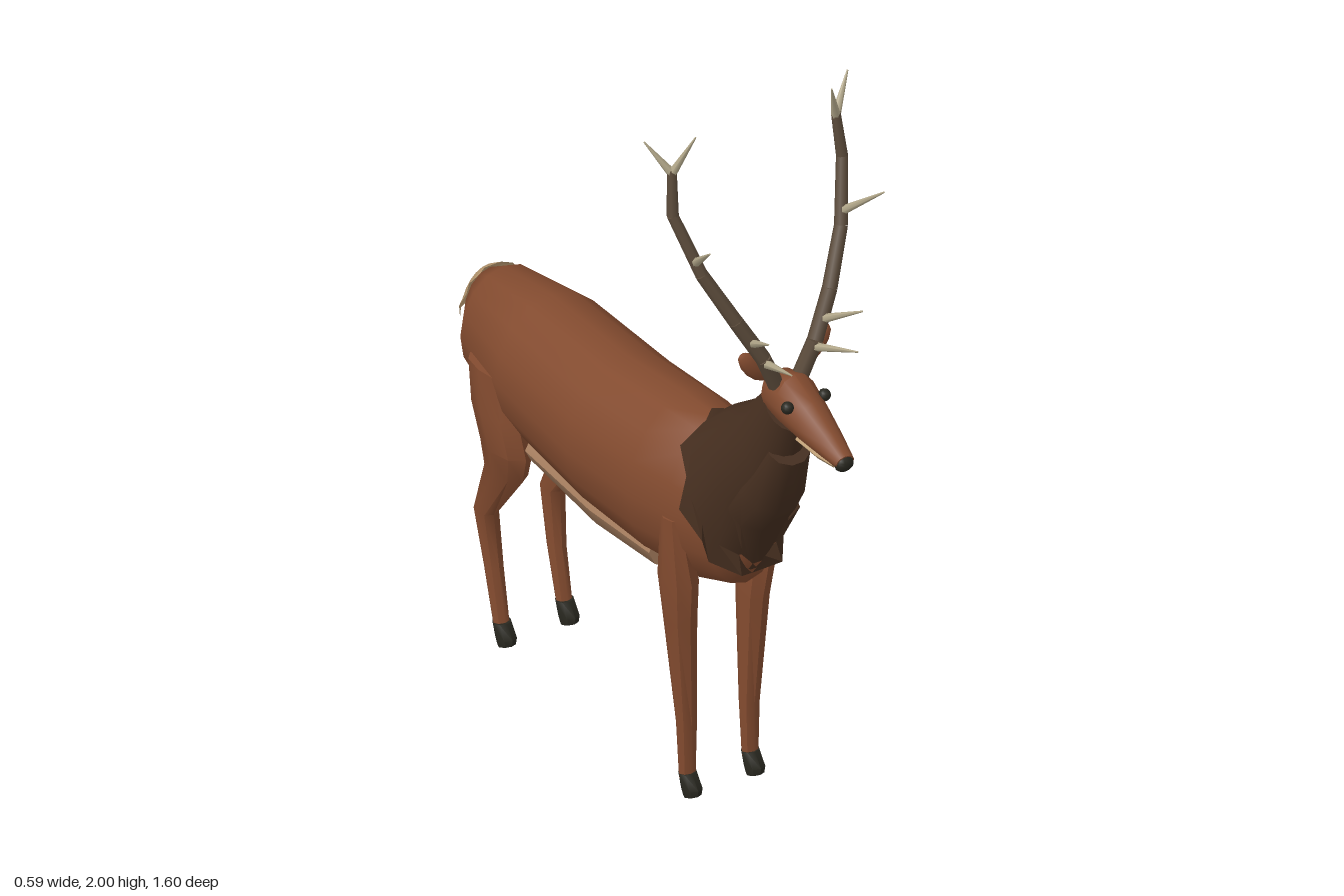
import * as THREE from 'three';
import { toCreasedNormals } from 'three/addons/utils/BufferGeometryUtils.js';

const mat = (name, color, side = THREE.FrontSide) => {
  const m = new THREE.MeshStandardMaterial({ color, side });
  m.name = name;
  return m;
};

// Skin over oval cross-sections [zA, yA, zB, yB, halfWidth, x]: A and B are opposite ends of each oval.
function loft(sections, { sides = 12, from = 0, to = Math.PI * 2, jag = null } = {}) {
  const open = to - from < 6.28, n = open ? sides + 1 : sides;
  const pos = [], idx = [];
  sections.forEach(([zA, yA, zB, yB, w, x = 0], r) => {
    const cy = (yA + yB) / 2, cz = (zA + zB) / 2;
    for (let i = 0; i < n; i++) {
      const a = from + ((to - from) * i) / sides;
      const s = Math.sin(a);
      const p = [x + Math.cos(a) * w, cy + s * (yA - cy), cz + s * (zA - cz)];
      if (jag && jag.row === r && i % 2) { p[1] += jag.y; p[2] += jag.z; }
      pos.push(...p);
    }
  });
  for (let r = 0; r < sections.length - 1; r++) {
    for (let i = 0; i < sides; i++) {
      const a = r * n + i, b = r * n + ((i + 1) % n), c = a + n, d = b + n;
      idx.push(a, b, c, b, d, c);
    }
  }
  // end caps
  if (!open) {
    [0, sections.length - 1].forEach((r) => {
      const [zA, yA, zB, yB, , x = 0] = sections[r];
      const c = pos.length / 3;
      pos.push(x, (yA + yB) / 2, (zA + zB) / 2);
      for (let i = 0; i < sides; i++) {
        const a = r * n + i, b = r * n + ((i + 1) % n);
        if (r === 0) idx.push(c, b, a); else idx.push(c, a, b);
      }
    });
  }
  // turn faces outward by the sign of the enclosed volume
  let vol = 0;
  const v = (i) => new THREE.Vector3().fromArray(pos, i * 3);
  for (let i = 0; i < idx.length; i += 3) vol += v(idx[i]).dot(v(idx[i + 1]).cross(v(idx[i + 2])));
  if (vol < 0) idx.reverse();
  const g = new THREE.BufferGeometry();
  g.setAttribute('position', new THREE.Float32BufferAttribute(pos, 3));
  g.setIndex(idx);
  return toCreasedNormals(g, 0.75);
}

// Tapered rod between two points
function rod(a, b, ra, rb, sides = 6) {
  const A = new THREE.Vector3(...a), B = new THREE.Vector3(...b), d = B.clone().sub(A);
  const g = new THREE.CylinderGeometry(rb, ra, d.length(), sides);
  g.applyQuaternion(new THREE.Quaternion().setFromUnitVectors(new THREE.Vector3(0, 1, 0), d.normalize()));
  return g.translate(...A.add(B).multiplyScalar(0.5).toArray());
}

export function createModel() {
  const coat = mat('coat', 0x834b2f), mane = mat('mane', 0x452e1f);
  const belly = mat('belly', 0xa57d5e), pale = mat('paleFur', 0xbd9d74, THREE.DoubleSide);
  const antler = mat('antler', 0x5a4a3a), tine = mat('tine', 0xb5aa8c);
  const dark = mat('hoofAndNose', 0x28271f);

  const root = new THREE.Group();
  root.name = 'stag';
  const add = (name, geo, m, parent = root) => {
    const mesh = new THREE.Mesh(geo, m);
    mesh.name = name;
    parent.add(mesh);
    return mesh;
  };
  const upright = ([z, top, bottom, w]) => [z, top, z, bottom, w];
  const level = ([zFront, zBack, y, w, x]) => [zFront, y, zBack, y, w, x];

  // Barrel of the body, rump to chest
  add('body', loft([
    [-0.765, 0.9, 0.78, 0.04], [-0.75, 0.935, 0.72, 0.075], [-0.69, 0.97, 0.655, 0.125],
    [-0.48, 1.0, 0.61, 0.165], [-0.16, 1.0, 0.575, 0.175], [0.1, 1.03, 0.57, 0.17],
    [0.24, 1.035, 0.585, 0.15], [0.36, 0.98, 0.63, 0.115], [0.41, 0.88, 0.71, 0.06],
  ].map(upright), { sides: 16 }), coat);

  // Pale underside
  add('belly', loft([
    [-0.41, 0.7, 0.575, 0.125], [-0.13, 0.7, 0.535, 0.125], [0.12, 0.7, 0.555, 0.12],
  ].map(upright)), belly);

  // Rump patch with a ragged front edge, and tail
  add('rumpPatch', loft([
    [-0.771, 0.904, 0.78, 0.042], [-0.756, 0.941, 0.715, 0.08], [-0.723, 0.96, 0.683, 0.105],
  ].map(upright), { sides: 12, from: 0.15, to: Math.PI - 0.15, jag: { row: 2, y: -0.008, z: -0.014 } }), pale);
  add('tail', loft([
    [-0.765, 0.89, -0.74, 0.86, 0.018], [-0.795, 0.82, -0.755, 0.8, 0.032],
    [-0.8, 0.765, -0.77, 0.755, 0.026], [-0.797, 0.73, -0.79, 0.73, 0.008],
  ], { sides: 8 }), mane);

  // Dark neck with a ragged hem, and the hanging ruff
  add('neck', loft([
    [0.21, 1.045, 0.385, 0.67, 0.152], [0.25, 1.06, 0.415, 0.74, 0.14], [0.31, 1.11, 0.47, 0.86, 0.108],
    [0.41, 1.18, 0.53, 0.98, 0.082], [0.48, 1.26, 0.585, 1.18, 0.052],
  ], { sides: 16, jag: { row: 0, y: 0.02, z: 0.05 } }), mane);
  add('ruff', loft([
    [0.587, 1.085, 0.5, 1.13, 0.055], [0.537, 0.92, 0.4, 1.03, 0.085],
    [0.475, 0.84, 0.36, 0.96, 0.095], [0.4, 0.69, 0.36, 0.74, 0.04],
  ], { sides: 10 }), mane);

  // Head, jaw and nose
  add('head', loft([
    [0.475, 1.285, 0.475, 1.235, 0.03], [0.5, 1.312, 0.505, 1.2, 0.052], [0.57, 1.33, 0.575, 1.188, 0.06],
    [0.65, 1.292, 0.65, 1.18, 0.05], [0.73, 1.25, 0.73, 1.178, 0.037], [0.79, 1.215, 0.785, 1.178, 0.026],
  ]), coat);
  add('jaw', loft([
    [0.62, 1.2, 0.62, 1.168, 0.032], [0.7, 1.195, 0.7, 1.163, 0.027], [0.76, 1.19, 0.755, 1.167, 0.018],
  ], { sides: 8 }), pale);
  add('nose', new THREE.SphereGeometry(0.024, 10, 8).scale(1.1, 0.9, 0.7).translate(0, 1.192, 0.783), dark);

  // Paired parts
  [1, -1].forEach((s) => {
    const side = s > 0 ? 'left' : 'right';
    const group = (name) => {
      const g = new THREE.Group();
      g.name = side + name;
      root.add(g);
      return g;
    };

    add(side + 'Eye', new THREE.SphereGeometry(0.016, 10, 8).translate(s * 0.053, 1.28, 0.618), dark);

    // Leaf-shaped ear leaning out
    const leaf = new THREE.SphereGeometry(0.06, 8, 6).scale(0.45, 1, 0.3);
    leaf.rotateZ(-s * 0.72).translate(s * 0.088, 1.36, 0.525);
    add(side + 'Ear', leaf, coat);

    // Legs and hooves
    const front = group('FrontLeg'), hind = group('HindLeg');
    add('limb', loft([
      [0.27, 0.2, 0.8, 0.025, s * 0.13], [0.293, 0.175, 0.62, 0.045, s * 0.112],
      [0.275, 0.185, 0.5, 0.04, s * 0.104], [0.26, 0.213, 0.2, 0.027, s * 0.09],
      [0.258, 0.222, 0.05, 0.022, s * 0.09],
    ].map(level), { sides: 8 }), coat, front);
    add('hoof', loft([
      [0.262, 0.065, 0.22, 0.06, 0.024, s * 0.09], [0.288, 0.03, 0.232, 0.02, 0.025, s * 0.09],
      [0.285, 0.012, 0.24, 0, 0.022, s * 0.09],
    ], { sides: 8 }), dark, front);
    add('limb', loft([
      [-0.47, -0.625, 0.81, 0.028, s * 0.14], [-0.44, -0.615, 0.7, 0.05, s * 0.125],
      [-0.42, -0.59, 0.6, 0.05, s * 0.115], [-0.45, -0.592, 0.52, 0.042, s * 0.105],
      [-0.59, -0.655, 0.35, 0.03, s * 0.095], [-0.573, -0.622, 0.2, 0.024, s * 0.09],
      [-0.545, -0.582, 0.05, 0.021, s * 0.09],
    ].map(level), { sides: 8 }), coat, hind);
    add('hoof', loft([
      [-0.54, 0.065, -0.585, 0.06, 0.024, s * 0.09], [-0.516, 0.03, -0.572, 0.02, 0.025, s * 0.09],
      [-0.519, 0.012, -0.564, 0, 0.022, s * 0.09],
    ], { sides: 8 }), dark, hind);

    // Antler beam in jointed, tapering lengths, then its tines
    const horns = group('Antler');
    const beam = [
      [0.035, 1.3, 0.54, 0.021], [0.075, 1.39, 0.545, 0.02], [0.135, 1.5, 0.517, 0.019],
      [0.2, 1.63, 0.468, 0.017], [0.243, 1.78, 0.408, 0.015], [0.235, 1.9, 0.392, 0.012],
    ];
    for (let i = 0; i < beam.length - 1; i++) {
      const [ax, ay, az, ar] = beam[i], [bx, by, bz, br] = beam[i + 1];
      add('beam', rod([s * ax, ay, az], [s * bx, by, bz], ar, br, 8), antler, horns);
    }
    [
      [[0.07, 1.375, 0.55], [0.095, 1.43, 0.7]],
      [[0.1, 1.435, 0.535], [0.135, 1.51, 0.66]],
      [[0.21, 1.66, 0.455], [0.25, 1.765, 0.58]],
      [[0.235, 1.89, 0.393], [0.195, 2.0, 0.435]],
      [[0.235, 1.89, 0.393], [0.292, 1.98, 0.358]],
    ].forEach(([[ax, ay, az], [bx, by, bz]]) => {
      add('tine', rod([s * ax, ay, az], [s * bx, by, bz], 0.012, 0.002), tine, horns);
    });
  });

  return root;
}
